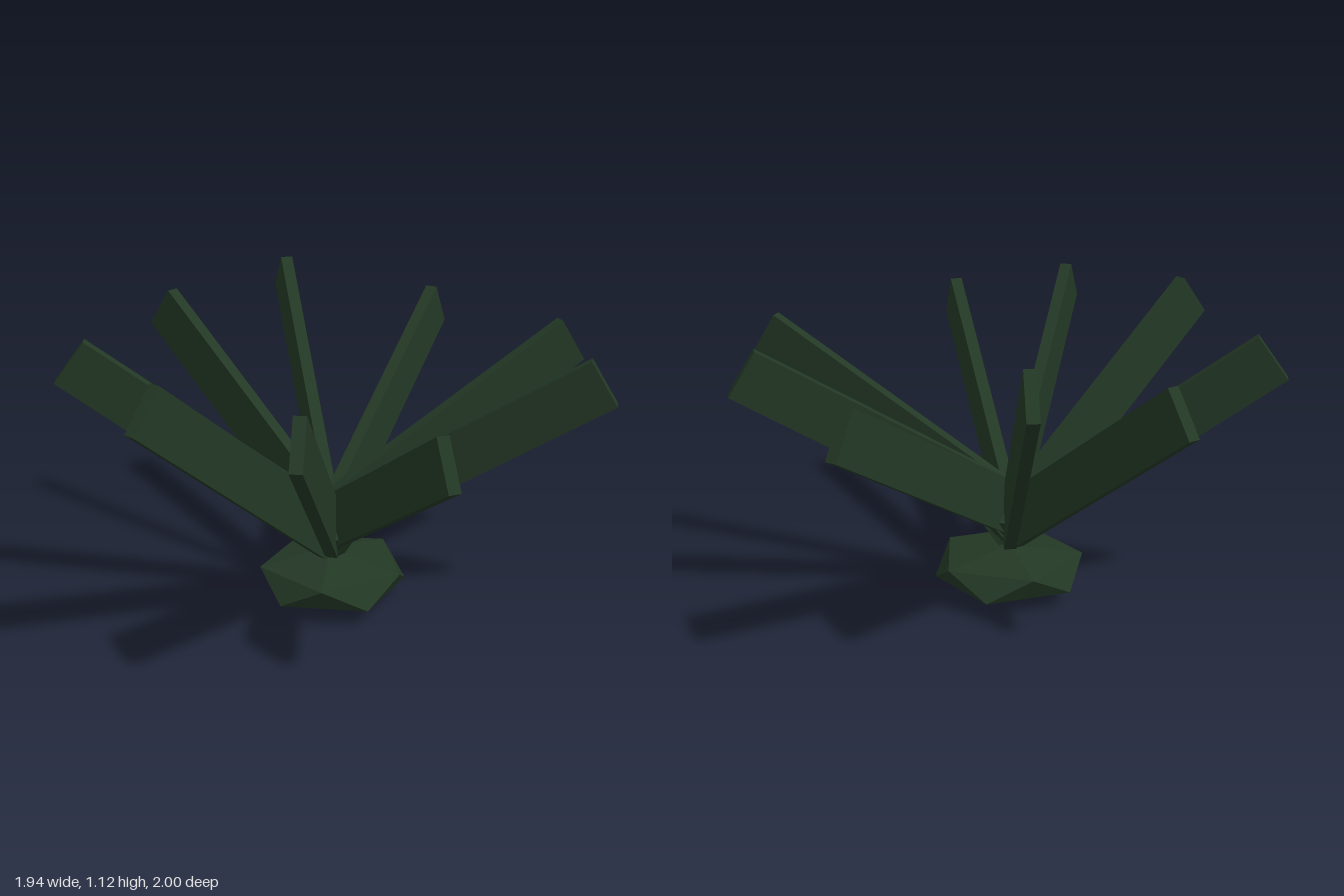
import * as THREE from 'three';
import { ConvexGeometry } from 'three/addons/geometries/ConvexGeometry.js';

const CENTRE = { x: -0.04, z: 0.02 };
const LENGTH = 1.24, WIDTH = 0.19, THICK = 0.045;

// Outer lower corner of each blade (x, y, z) and its rise in degrees
const BLADES = [
  [-0.96, 0.88, 0.41, 36],
  [-0.95, 0.88, -0.38, 36],
  [-0.565, 0.98, -0.75, 42],
  [0.035, 0.82, -1.0, 30],
  [0.715, 0.84, -0.655, 31],
  [0.965, 0.84, -0.175, 31],
  [0.665, 0.825, 0.775, 31],
  [0.215, 0.91, 0.99, 37],
  [-0.385, 0.935, 0.94, 39],
];

export function createModel() {
  const model = new THREE.Group();
  model.name = 'spikyPlant';
  const green = new THREE.MeshStandardMaterial({ color: 0x233825 });
  green.name = 'darkGreen';

  // Faceted base: a squashed icosahedron, slightly tilted
  const points = [new THREE.Vector3(-0.02, 0.005, 0.045), new THREE.Vector3(-0.06, 0.205, -0.005)];
  for (let i = 0; i < 10; i++) {
    const a = THREE.MathUtils.degToRad(5 + i * 36);
    points.push(new THREE.Vector3(
      CENTRE.x + 0.275 * Math.cos(a),
      i % 2 ? 0.065 : 0.155,
      CENTRE.z + 0.28 * Math.sin(a)));
  }
  const base = new THREE.Mesh(new ConvexGeometry(points), green);
  base.name = 'base';
  model.add(base);

  // Flat blades on edge, fanning out of the middle
  const blades = new THREE.Group();
  blades.name = 'blades';
  BLADES.forEach(([x, y, z, rise], i) => {
    const geometry = new THREE.BoxGeometry(LENGTH, WIDTH, THICK)
      .translate(-LENGTH / 2, WIDTH / 2, 0)
      .rotateZ(THREE.MathUtils.degToRad(rise))
      .rotateY(Math.atan2(CENTRE.z - z, x - CENTRE.x))
      .translate(x, y, z);
    const blade = new THREE.Mesh(geometry, green);
    blade.name = `blade${i + 1}`;
    blades.add(blade);
  });
  model.add(blades);
  return model;
}
